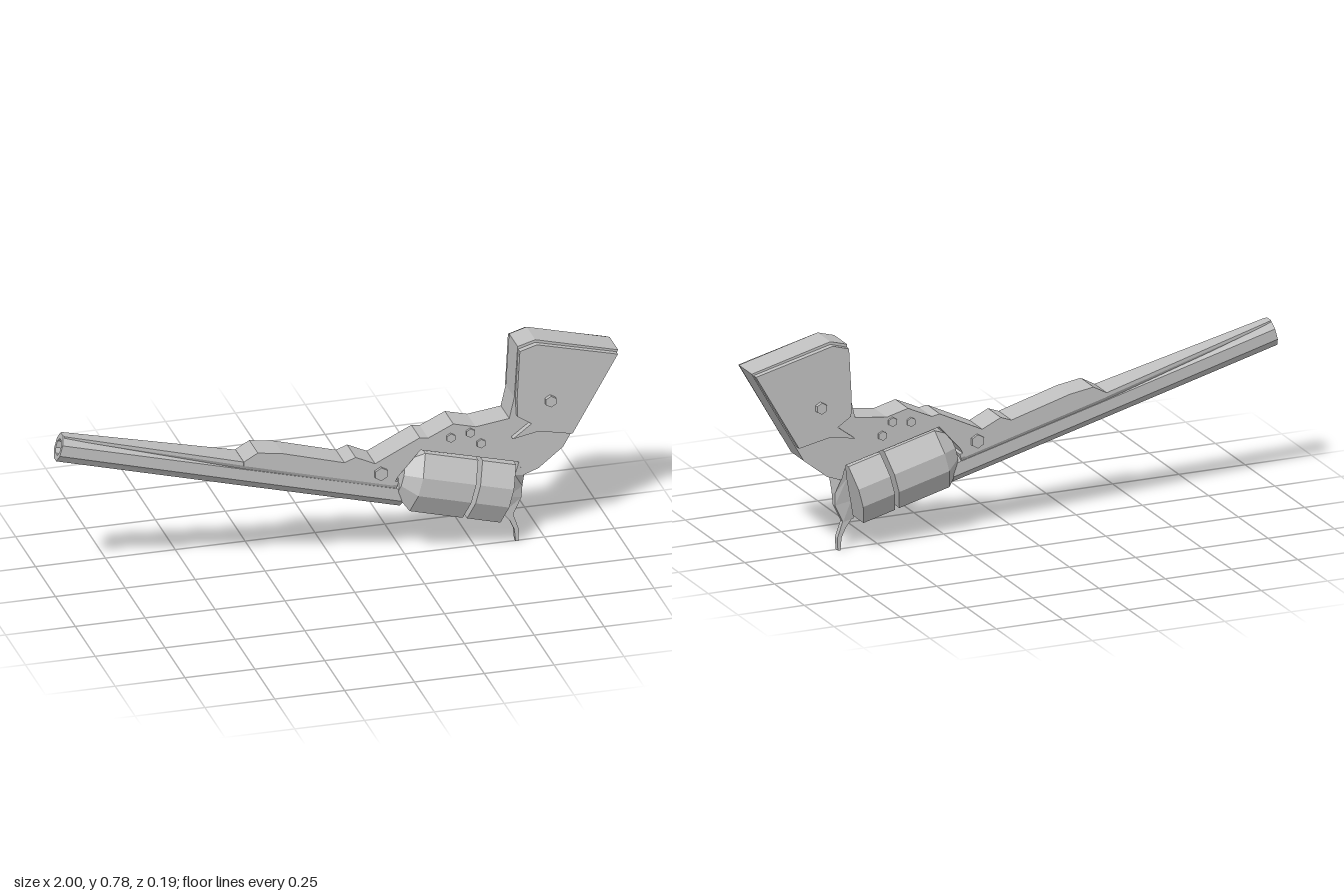
import * as THREE from 'three';

const steel = new THREE.MeshStandardMaterial({ color: 0xc0c0c0, flatShading: true });
steel.name = 'grey steel';

function add(parent, name, geometry) {
  const mesh = new THREE.Mesh(geometry, steel);
  mesh.name = name;
  parent.add(mesh);
  return mesh;
}

// Flat-shaded closed skin through rings of equal point count, capped at both ends
function loft(rings) {
  const n = rings[0].length, tris = [];
  for (let r = 0; r < rings.length - 1; r++) {
    for (let i = 0; i < n; i++) {
      const j = (i + 1) % n;
      const a = rings[r][i], b = rings[r][j], c = rings[r + 1][j], d = rings[r + 1][i];
      tris.push([a, b, c], [a, c, d]);
    }
  }
  const last = rings[rings.length - 1];
  for (let i = 1; i < n - 1; i++) {
    tris.push([rings[0][0], rings[0][i + 1], rings[0][i]], [last[0], last[i], last[i + 1]]);
  }
  // Turn the skin outward if its signed volume is negative
  const v = (p) => new THREE.Vector3(...p);
  const volume = tris.reduce((s, [a, b, c]) => s + v(a).dot(v(b).cross(v(c))), 0);
  if (volume < 0) tris.forEach((t) => t.reverse());
  const g = new THREE.BufferGeometry();
  g.setAttribute('position', new THREE.Float32BufferAttribute(tris.flat(2), 3));
  g.computeVertexNormals();
  return g;
}

// Eight-sided section across the bore axis: half height, half width and chamfered corners
function octagon(x, y, z, hh, hw, ch, cw) {
  return [[hh, cw], [ch, hw], [-ch, hw], [-hh, cw], [-hh, -cw], [-ch, -hw], [ch, -hw], [hh, -cw]]
    .map(([dy, dz]) => [x, y + dy, z + dz]);
}

// Side outline extruded evenly about z = 0
function plate(points, half) {
  const shape = new THREE.Shape(points.map(([x, y]) => new THREE.Vector2(x, y)));
  const g = new THREE.ExtrudeGeometry(shape, { depth: half * 2, bevelEnabled: false });
  return g.translate(0, 0, -half);
}

export function createModel() {
  const model = new THREE.Group();
  model.name = 'revolver';
  const body = new THREE.Group();
  body.name = 'body';
  body.position.z = -0.004;
  model.add(body);

  // Barrel and drum share the tilted bore axis
  const bore = new THREE.Group();
  bore.name = 'boreAxis';
  bore.rotation.z = -Math.atan2(0.255, 0.967);
  body.add(bore);

  add(bore, 'barrel', loft([
    octagon(-1.02, 0.296, 0, 0.028, 0.023, 0.012, 0.01),
    octagon(-1.1, 0.296, 0, 0.028, 0.023, 0.012, 0.01),
    octagon(-1.1, 0.296, 0, 0.048, 0.036, 0.02, 0.016),
    octagon(-0.42, 0.296, 0, 0.049, 0.045, 0.021, 0.02),
    octagon(0.17, 0.296, 0, 0.049, 0.048, 0.022, 0.022),
  ]));

  // Top rib that widens rearwards and undercuts towards the barrel sides
  const ribSection = (x, top, w, edge, low) => [
    [x, top, w], [x, edge, w], [x, low, w * 0.8], [x, low, -w * 0.8], [x, edge, -w], [x, top, -w],
  ];
  add(bore, 'barrelRib', loft([
    ribSection(-1.095, 0.344, 0.02, 0.335, 0.325),
    ribSection(-0.42, 0.347, 0.053, 0.333, 0.315),
    ribSection(0.13, 0.347, 0.054, 0.333, 0.31),
  ]));

  // Drum in two pieces with an open gap between
  const drum = (x, s) => octagon(x, 0.356, 0.004, 0.11 * s, 0.097 * s, 0.034 * s, 0.055 * s);
  add(bore, 'drumFront', loft([drum(0.14, 0.6), drum(0.196, 1), drum(0.392, 1)]));
  add(bore, 'drumRear', loft([drum(0.408, 1), drum(0.532, 1)]));

  // Frame with underlug, trigger-side bumps and grip core
  add(body, 'frame', plate([
    [-0.34, 0.434], [-0.34, 0.449], [-0.29, 0.477], [-0.2, 0.463], [0.02, 0.4], [0.06, 0.415],
    [0.13, 0.382], [0.29, 0.46], [0.32, 0.455], [0.41, 0.497], [0.49, 0.476], [0.61, 0.492],
    [0.628, 0.57], [0.64, 0.762], [0.703, 0.78], [1, 0.703], [0.803, 0.36], [0.715, 0.29],
    [0.66, 0.27], [0.645, 0.322], [0.292, 0.413], [0.212, 0.322], [0.195, 0.29],
  ], 0.054));

  // Recoil shield narrowing towards the hammer
  const level = (xf, yf, hf, xb, yb, hb) => [[xf, yf, hf], [xf, yf, -hf], [xb, yb, -hb], [xb, yb, hb]];
  add(body, 'recoilShield', loft([
    level(0.645, 0.323, 0.054, 0.663, 0.27, 0.054),
    level(0.634, 0.268, 0.04, 0.668, 0.21, 0.014),
    level(0.612, 0.18, 0.024, 0.666, 0.165, 0.01),
    level(0.595, 0.11, 0.01, 0.635, 0.1, 0.01),
  ]));
  add(body, 'hammerSpur', plate([
    [0.597, 0.115], [0.625, 0.08], [0.641, 0.045], [0.645, 0], [0.655, 0], [0.657, 0.045], [0.636, 0.105],
  ], 0.01));

  // Raised grip panels on both sides
  add(body, 'gripPanels', plate([
    [0.642, 0.752], [0.703, 0.77], [0.993, 0.697], [0.83, 0.415], [0.71, 0.44], [0.617, 0.422],
    [0.684, 0.472], [0.634, 0.505], [0.632, 0.57],
  ], 0.075));

  // Pins and screws that pass through the body
  const pins = [
    ['gripPin', 0.75, 0.553, 0.021, 0.089],
    ['pivotScrew', 0.15, 0.343, 0.025, 0.064],
    ['framePin1', 0.4, 0.447, 0.017, 0.062],
    ['framePin2', 0.47, 0.457, 0.017, 0.062],
    ['framePin3', 0.508, 0.412, 0.017, 0.062],
  ];
  for (const [name, x, y, r, half] of pins) {
    const pin = add(body, name, new THREE.CylinderGeometry(r, r, half * 2, 6));
    pin.rotation.x = Math.PI / 2;
    pin.position.set(x, y, 0);
  }
  return model;
}
